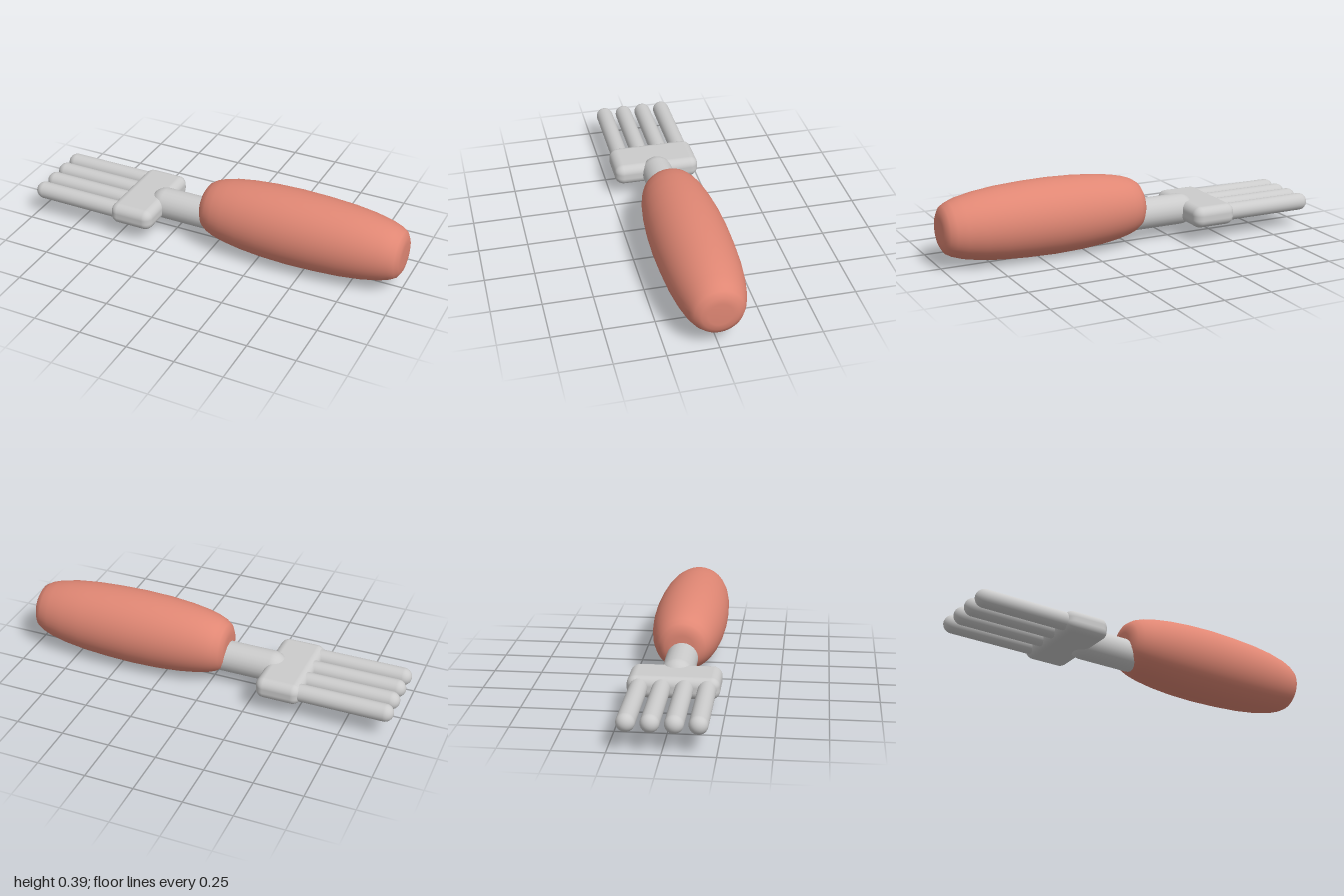
import * as THREE from 'three';
import { RoundedBoxGeometry } from 'three/addons/geometries/RoundedBoxGeometry.js';

export function createModel() {
  const group = new THREE.Group();
  const metal = new THREE.MeshStandardMaterial({ color: 0xcccccc });
  const grip = new THREE.MeshStandardMaterial({ color: 0xe08774 });

  const add = (name, geometry, material, x, y, z) => {
    const mesh = new THREE.Mesh(geometry, material);
    mesh.name = name;
    mesh.position.set(x, y, z);
    group.add(mesh);
    return mesh;
  };

  // Round-ended rod lying along x between two tips
  const rod = (name, x0, x1, radius, y, z) => {
    const geometry = new THREE.CapsuleGeometry(radius, x1 - x0 - 2 * radius, 8, 24);
    geometry.rotateZ(Math.PI / 2);
    return add(name, geometry, metal, (x0 + x1) / 2, y, z);
  };

  // Barrel-shaped grip: [radius, x], turned around the x axis
  const profile = [
    [0, -0.08], [0.06, -0.08], [0.092, -0.076], [0.118, -0.06], [0.138, -0.03],
    [0.153, 0.01], [0.167, 0.07], [0.18, 0.16], [0.19, 0.28], [0.194, 0.42],
    [0.191, 0.56], [0.183, 0.7], [0.17, 0.81], [0.152, 0.9], [0.135, 0.95],
    [0.118, 0.98], [0.09, 0.996], [0.06, 1], [0, 1],
  ].map(([r, x]) => new THREE.Vector2(r, x));
  const handle = new THREE.LatheGeometry(profile, 48);
  handle.rotateZ(-Math.PI / 2);
  add('handle', handle, grip, 0, 0.195, 0);

  // Neck joining the grip to the head
  rod('neck', -0.395, 0.07, 0.081, 0.137, 0);

  // Head block, slightly narrower towards its two ends
  const head = new RoundedBoxGeometry(0.246, 0.114, 0.452, 6, 0.045);
  const p = head.attributes.position;
  for (let i = 0; i < p.count; i++) {
    const t = Math.abs(p.getZ(i)) / 0.226;
    p.setX(i, p.getX(i) * (1 - 0.06 * t * t));
    p.setY(i, p.getY(i) * (1 - 0.05 * t * t));
  }
  add('head', head, metal, -0.415, 0.134, 0);

  // Four tines
  for (let i = 0; i < 4; i++) rod('tine', -1, -0.45, 0.045, 0.136, (i - 1.5) * 0.11);

  return group;
}
